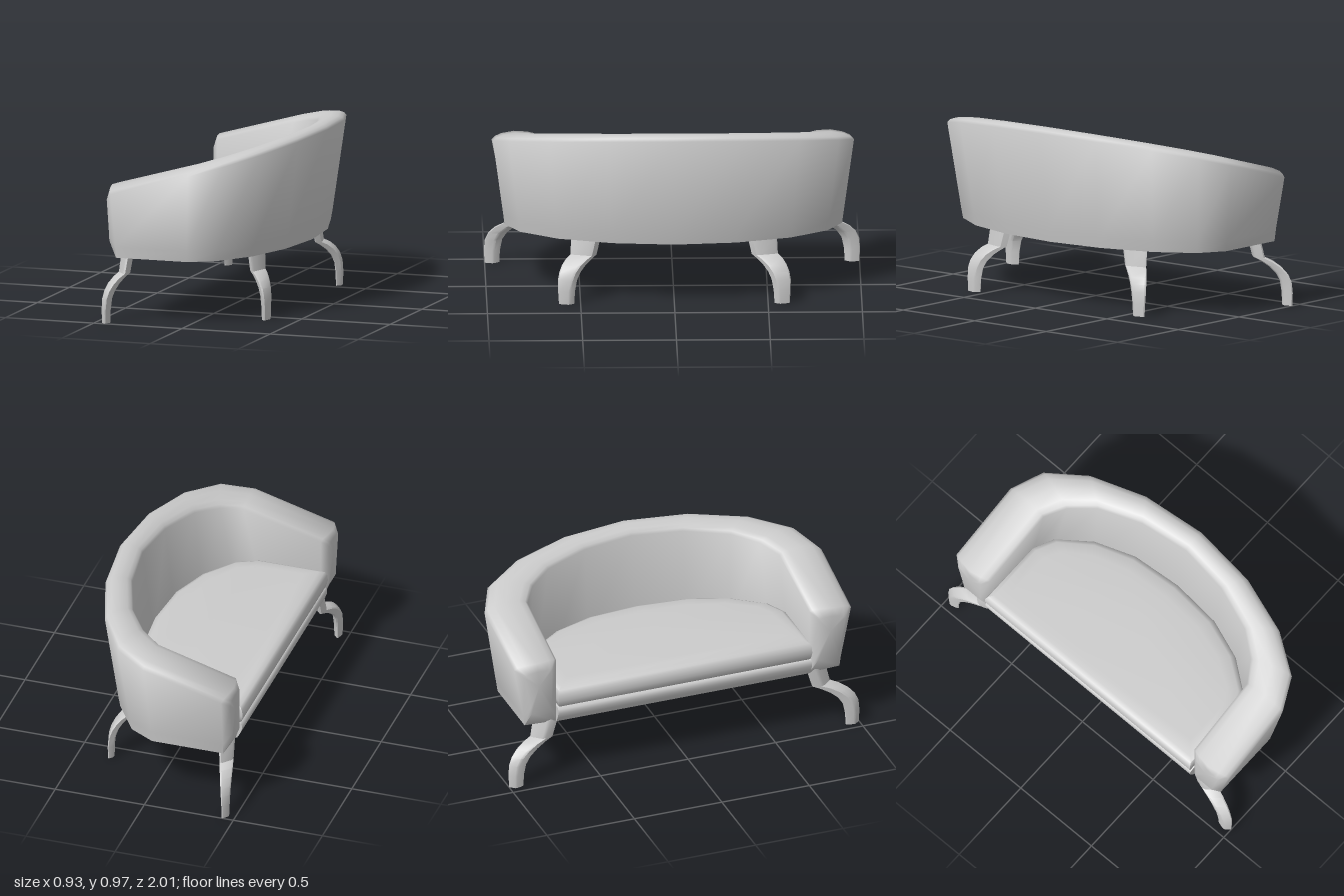
import * as THREE from 'three';
import { toCreasedNormals } from 'three/addons/utils/BufferGeometryUtils.js';

const V = (x, y, z) => new THREE.Vector3(x, y, z);
const material = new THREE.MeshStandardMaterial({ color: 0xcccccc });

const middle = ring => ring.reduce((sum, p) => sum.addScaledVector(p, 1 / ring.length), V(0, 0, 0));

// Skins a list of closed rings and caps both ends; winding is fixed by signed volume.
function loft(name, rings, crease) {
  const n = rings[0].length;
  const points = rings.flat();
  const index = [];
  for (let r = 0; r < rings.length - 1; r++) {
    for (let i = 0; i < n; i++) {
      const j = (i + 1) % n, a = r * n, b = a + n;
      index.push(a + i, a + j, b + j, a + i, b + j, b + i);
    }
  }
  [0, rings.length - 1].forEach((r, end) => {
    const c = points.push(middle(rings[r])) - 1;
    for (let i = 0; i < n; i++) {
      const a = r * n + i, b = r * n + (i + 1) % n;
      index.push(c, ...(end ? [a, b] : [b, a]));
    }
  });
  let volume = 0;
  for (let i = 0; i < index.length; i += 3) {
    const [a, b, c] = [0, 1, 2].map(k => points[index[i + k]]);
    volume += a.dot(b.clone().cross(c));
  }
  if (volume < 0) index.reverse();
  const geometry = new THREE.BufferGeometry().setFromPoints(points);
  geometry.setIndex(index);
  const mesh = new THREE.Mesh(toCreasedNormals(geometry, crease), material);
  mesh.name = name;
  return mesh;
}

// Half plans [x, z] from the arm front to the middle of the back
const outerTop = [[-0.418, 0.963], [0.02, 0.963], [0.19, 0.88], [0.33, 0.67], [0.43, 0.36], [0.467, 0]];
const outerFoot = [[-0.41, 0.9], [-0.01, 0.9], [0.13, 0.82], [0.26, 0.62], [0.347, 0.33], [0.38, 0]];
const innerTop = [[-0.422, 0.725], [0.01, 0.72], [0.12, 0.65], [0.22, 0.52], [0.305, 0.28], [0.34, 0]];
const innerFoot = [[-0.422, 0.725], [-0.08, 0.725], [0.04, 0.67], [0.17, 0.5], [0.25, 0.28], [0.275, 0]];
const mirrorPlan = half => [...half, ...half.slice(0, -1).reverse().map(([x, z]) => [x, -z])];
const mix = THREE.MathUtils.lerp;
const ridge = x => 0.73 + 0.28 * (x + 0.45);
const floorY = 0.343;

// Wraparound arms and back, one cross-section per plan point
function createShell() {
  const [ot, of, it, inf] = [outerTop, outerFoot, innerTop, innerFoot].map(mirrorPlan);
  const rim = [[0, -0.045], [0.07, -0.028], [0.22, -0.012], [0.5, 0], [0.8, -0.004], [0.94, -0.012], [1, -0.025]];
  const rings = ot.map((o, k) => {
    const bow = k === 0 || k === ot.length - 1 ? 0.032 : 0;
    const section = [
      V(inf[k][0], floorY, inf[k][1]),
      V(of[k][0], floorY, of[k][1]),
      V(mix(of[k][0], o[0], 0.12), 0.4, mix(of[k][1], o[1], 0.12)),
    ];
    for (const [f, drop] of rim) {
      const x = mix(o[0], it[k][0], f) - bow * Math.sin(Math.PI * f);
      section.push(V(x, ridge(x) + drop, mix(o[1], it[k][1], f)));
    }
    section.push(V(inf[k][0], 0.4, inf[k][1]));
    return section;
  });
  // Padded arm fronts
  const pad = ring => {
    const centre = middle(ring);
    return ring.map(p => p.clone().lerp(centre, 0.35).setX(-0.456));
  };
  return loft('armsAndBack', [pad(rings[0]), ...rings, pad(rings.at(-1))], 1.3);
}

// Seat slab following the inner plan; levels are [y, inset, frontX]
function createSlab(name, levels, crease) {
  const rings = levels.map(([y, inset, frontX]) => mirrorPlan(innerFoot).map(([x, z], k, all) => {
    const front = k === 0 || k === all.length - 1;
    const shrink = 1 - inset / 0.72;
    return V(front ? frontX : x - inset * Math.max(0, x + 0.1) * 3, y, z * shrink);
  }));
  return loft(name, rings, crease);
}

// Curved leg: stations are [y, outward travel, depth, width], z stretched to suit the wide seat
function createLeg(name, x, z, dx, dz) {
  const stations = [
    [0.37, -0.004, 0.036, 0.078], [0.345, 0, 0.036, 0.076], [0.25, 0.014, 0.036, 0.066],
    [0.232, 0.04, 0.042, 0.062], [0.205, 0.067, 0.042, 0.056], [0.17, 0.089, 0.038, 0.05],
    [0.13, 0.102, 0.035, 0.045], [0.07, 0.107, 0.033, 0.039], [0, 0.107, 0.03, 0.035],
  ];
  // Rectangle with clipped corners
  const corners = [[-1, -0.75], [-0.7, -1], [0.7, -1], [1, -0.75], [1, 0.75], [0.7, 1], [-0.7, 1], [-1, 0.75]];
  const rings = stations.map(([y, s, depth, width]) => corners.map(([u, v]) => {
    const along = s + u * depth / 2, across = v * width / 2;
    return V(x + dx * along - dz * across, y, z + 2 * (dz * along + dx * across));
  }));
  return loft(name, rings, 0.6);
}

export function createModel() {
  const model = new THREE.Group();
  model.name = 'loveseat';
  model.add(createShell());

  // Seat base and cushion
  model.add(createSlab('seatBase', [
    [floorY, 0, -0.43], [0.37, 0, -0.446], [0.4, 0, -0.457], [0.425, 0, -0.457], [0.435, 0, -0.445],
  ], 0.9));
  model.add(createSlab('seatCushion', [
    [0.43, 0.02, -0.435], [0.445, 0.005, -0.452], [0.48, 0, -0.462], [0.515, 0, -0.458],
    [0.535, 0.008, -0.445], [0.546, 0.03, -0.42], [0.552, 0.09, -0.35],
  ], 1.1));

  // Two legs under the arms, two under the back
  for (const side of [1, -1]) {
    const label = side > 0 ? 'Left' : 'Right';
    model.add(createLeg('front' + label + 'Leg', -0.39, 0.775 * side, -0.5, 0.866 * side));
    model.add(createLeg('back' + label + 'Leg', 0.232, 0.47 * side, 0.87, 0.49 * side));
  }
  return model;
}
